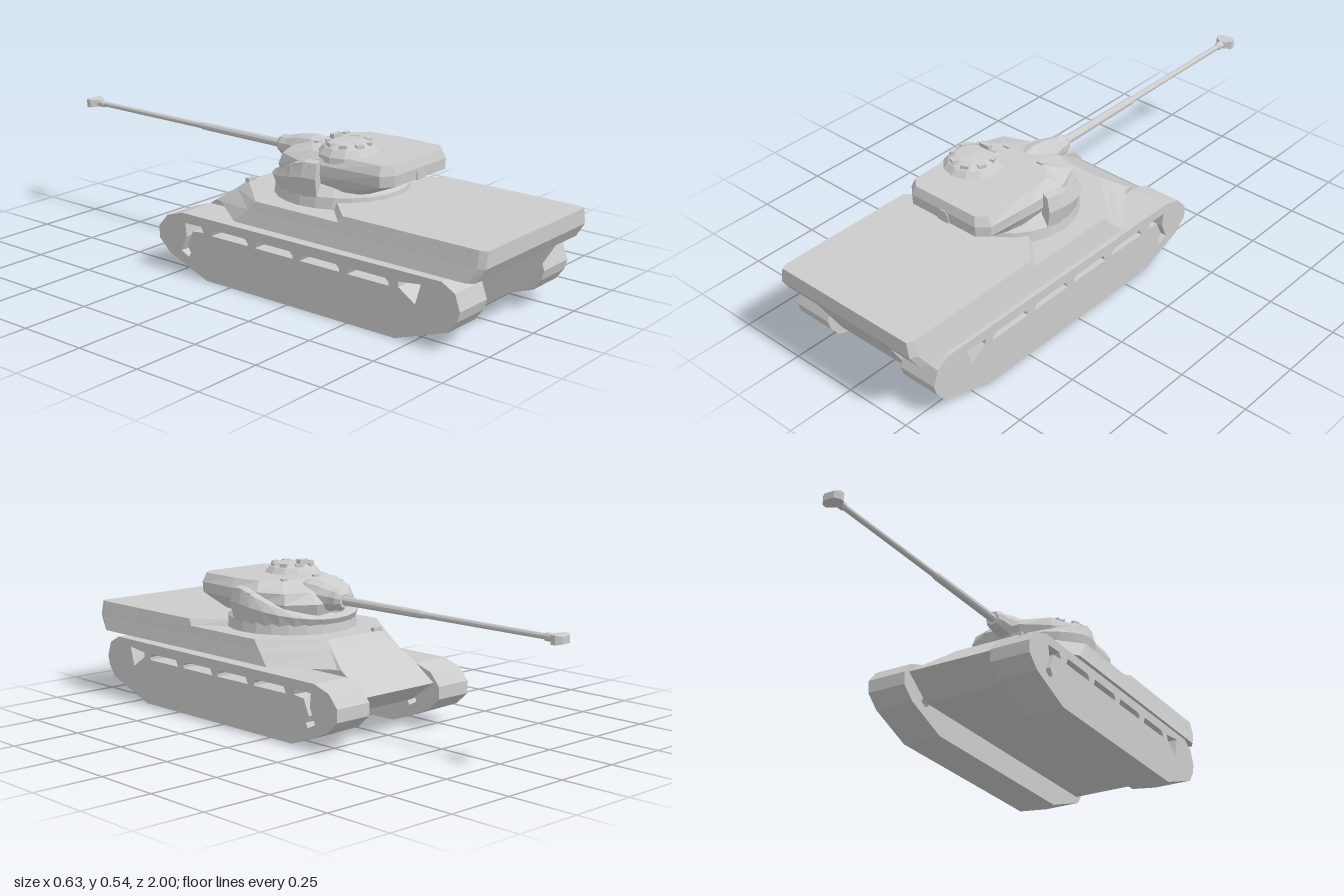
import * as THREE from 'three';

const material = new THREE.MeshStandardMaterial({ color: 0xcccccc, flatShading: true });

function add(parent, name, geometry, x = 0, y = 0, z = 0) {
  const mesh = new THREE.Mesh(geometry, material);
  mesh.name = name;
  mesh.position.set(x, y, z);
  parent.add(mesh);
  return mesh;
}

// Skins a closed solid over rings of [x, y, z] points, with fan caps
function loft(rings) {
  const tris = [];
  const n = rings[0].length;
  for (let r = 0; r < rings.length - 1; r++) {
    for (let i = 0; i < n; i++) {
      const j = (i + 1) % n;
      const [a, b, c, d] = [rings[r][i], rings[r][j], rings[r + 1][j], rings[r + 1][i]];
      tris.push([a, b, c], [a, c, d]);
    }
  }
  const last = rings[rings.length - 1];
  for (let i = 1; i < n - 1; i++) {
    tris.push([rings[0][0], rings[0][i + 1], rings[0][i]], [last[0], last[i], last[i + 1]]);
  }
  // Turn the faces outwards if the signed volume is negative
  const v = (p) => new THREE.Vector3(...p);
  const volume = tris.reduce((s, [a, b, c]) => s + v(a).dot(v(b).cross(v(c))), 0);
  const out = tris.map(([a, b, c]) => (volume < 0 ? [a, c, b] : [a, b, c]));
  const g = new THREE.BufferGeometry();
  g.setAttribute('position', new THREE.Float32BufferAttribute(out.flat(2), 3));
  g.computeVertexNormals();
  return g;
}

// Symmetric plan outline at height y from its +x half of [x, z] points
const plan = (y, half) => [
  ...half.map(([x, z]) => [x, y, z]),
  ...half.slice().reverse().map(([x, z]) => [-x, y, z]),
];

const toPoints = (list) => list.map(([a, b]) => new THREE.Vector2(a, b));

// Extrudes a [z, y] side profile across x from xMin to xMax
function sideExtrude(profile, xMin, xMax, holes = []) {
  const shape = new THREE.Shape(toPoints(profile));
  shape.holes = holes.map((h) => new THREE.Path(toPoints(h)));
  return new THREE.ExtrudeGeometry(shape, { depth: xMax - xMin, bevelEnabled: false })
    .rotateY(-Math.PI / 2).translate(xMax, 0, 0);
}

// Turned part lying along the gun axis, from [radius, forward distance]
const turned = (profile, sides) =>
  new THREE.LatheGeometry(toPoints(profile), sides).rotateX(-Math.PI / 2);

function buildHull(group) {
  add(group, 'lowerHull', sideExtrude(
    [[0.875, 0.09], [0.967, 0.24], [-0.196, 0.24], [-0.305, 0.165], [-0.2, 0.09]], -0.166, 0.166));
  add(group, 'upperHull', loft([
    plan(0.24, [[0.295, 0.967], [0.31, 0.94], [0.31, 0.02], [0.167, -0.175], [0.166, -0.196]]),
    plan(0.29, [[0.288, 1], [0.299, 0.975], [0.299, 0.07], [0.141, -0.116], [0.138, -0.124]]),
    plan(0.322, [[0.283, 1], [0.293, 0.975], [0.293, 0.1], [0.125, -0.08], [0.122, -0.081]]),
  ]));
  add(group, 'engineDeck', loft([
    plan(0.32, [[0.283, 1], [0.293, 0.975], [0.293, 0.445], [0.18, 0.335]]),
    plan(0.345, [[0.278, 1], [0.288, 0.975], [0.288, 0.46], [0.18, 0.35]]),
  ]));
  add(group, 'driverPeriscope', new THREE.BoxGeometry(0.04, 0.015, 0.015), -0.12, 0.327, -0.073);
}

function buildTracks(group) {
  const outline = [
    [0.69, 0], [0.89, 0.07], [0.92, 0.11], [0.93, 0.145], [0.91, 0.2], [0.86, 0.227],
    [-0.22, 0.222], [-0.29, 0.2], [-0.33, 0.155], [-0.33, 0.11], [-0.28, 0.065], [-0.11, 0],
  ];
  // Openings between the return rollers, and one beside each end wheel
  const holes = [0.5, 0.305, 0.112, -0.083].map((z) => [
    [z, 0.167], [z + 0.012, 0.19], [z + 0.15, 0.19], [z + 0.163, 0.178], [z + 0.163, 0.167],
  ]);
  holes.push([[0.765, 0.13], [0.785, 0.2], [0.7, 0.19], [0.7, 0.172]]);
  holes.push([
    [-0.12, 0.17], [-0.13, 0.19], [-0.205, 0.188], [-0.2, 0.14], [-0.225, 0.085], [-0.19, 0.068],
    [-0.18, 0.085], [-0.195, 0.11], [-0.17, 0.165],
  ]);
  add(group, 'leftTrack', sideExtrude(outline, 0.167, 0.313, holes));
  add(group, 'rightTrack', sideExtrude(outline, -0.313, -0.167, holes));
}

function buildTurret(group) {
  const cz = 0.235;
  // Lower turret: ring, sloped shoulder and front collar rising to the trunnions
  add(group, 'turretRing', new THREE.LatheGeometry(
    toPoints([[0.233, 0.315], [0.227, 0.36], [0.2, 0.385], [0.17, 0.405], [0, 0.405]]), 24), 0, 0, cz);
  const collar = [];
  for (let i = 0; i <= 16; i++) {
    const t = THREE.MathUtils.degToRad(-106 + (212 * i) / 16);
    const top = 0.375 + 0.095 * Math.min(1, 1 - Math.cos(t));
    const mid = (top + 0.35) / 2 + 0.01;
    collar.push([[0.226, 0.35], [0.239, mid], [0.226, top], [0.2, top + 0.005], [0.19, 0.35]]
      .map(([r, y]) => [r * Math.sin(t), y, cz - r * Math.cos(t)]));
  }
  add(group, 'turretCollar', loft(collar));

  // Upper turret with rear bustle
  add(group, 'turretBody', loft([
    plan(0.375, [[0.12, 0.44], [0.15, 0.42], [0.165, 0.35], [0.18, 0.2], [0.15, 0.1], [0.06, 0.04]]),
    plan(0.423, [[0.14, 0.553], [0.175, 0.52], [0.19, 0.35], [0.198, 0.2], [0.165, 0.09], [0.07, 0.025]]),
    plan(0.46, [[0.14, 0.555], [0.178, 0.52], [0.19, 0.35], [0.195, 0.2], [0.155, 0.1], [0.065, 0.065]]),
    plan(0.492, [[0.13, 0.545], [0.163, 0.515], [0.168, 0.35], [0.155, 0.23], [0.1, 0.18], [0.05, 0.175]]),
  ]));
  const hatch = new THREE.Shape(toPoints(
    [[-0.023, 0.422], [0.023, 0.422], [0.023, 0.45], [0.012, 0.461], [-0.012, 0.461], [-0.023, 0.45]]));
  add(group, 'bustleHatch', new THREE.ExtrudeGeometry(hatch, { depth: 0.008, bevelEnabled: false }), 0, 0, 0.55);
  for (const s of [-1, 1]) {
    add(group, 'trunnion', new THREE.BoxGeometry(0.05, 0.07, 0.07), s * 0.2, 0.425, 0.24);
    add(group, 'roofPeriscope', new THREE.BoxGeometry(0.024, 0.014, 0.014), s * 0.075 + 0.01, 0.491, 0.18);
  }

  // Commander's cupola with a ring of vision blocks
  const cupola = new THREE.Group();
  cupola.name = 'cupola';
  cupola.position.set(-0.085, 0, 0.325);
  add(cupola, 'cupolaDome', new THREE.LatheGeometry(
    toPoints([[0.105, 0.47], [0.103, 0.49], [0.085, 0.513], [0.06, 0.527], [0, 0.531]]), 12));
  for (let i = 0; i < 8; i++) {
    const a = ((i + 0.5) / 8) * Math.PI * 2;
    const block = add(cupola, 'visionBlock', new THREE.BoxGeometry(0.028, 0.014, 0.016),
      Math.sin(a) * 0.07, 0.521, Math.cos(a) * 0.07);
    block.rotation.y = a;
  }
  add(cupola, 'cupolaSight', new THREE.BoxGeometry(0.042, 0.022, 0.018), 0.004, 0.531, -0.058);
  group.add(cupola);
}

function buildGun(group) {
  const gun = new THREE.Group();
  gun.name = 'gun';
  gun.position.y = 0.437;
  add(gun, 'mantlet', turned(
    [[0, -0.17], [0.05, -0.17], [0.06, -0.12], [0.052, -0.06], [0.038, -0.01], [0.036, 0.02], [0.025, 0.04], [0, 0.04]], 10));
  add(gun, 'barrel', turned(
    [[0, 0], [0.016, 0], [0.014, 0.4], [0.011, 0.42], [0.01, 0.92], [0.014, 0.925], [0.014, 0.96], [0, 0.96]], 10));
  // Flared muzzle brake
  const section = (w, h, z) => [[w, -h], [w, h], [-w, h], [-w, -h]].map(([x, y]) => [x, y, z]);
  add(gun, 'muzzleBrake', loft([
    section(0.013, 0.013, -0.95), section(0.034, 0.015, -0.968),
    section(0.034, 0.015, -0.985), section(0.018, 0.012, -1),
  ]));
  group.add(gun);
}

export function createModel() {
  const model = new THREE.Group();
  model.name = 'tank';
  for (const [name, build] of [['hull', buildHull], ['tracks', buildTracks], ['turret', buildTurret], ['gunMount', buildGun]]) {
    const part = new THREE.Group();
    part.name = name;
    build(part);
    model.add(part);
  }
  return model;
}
